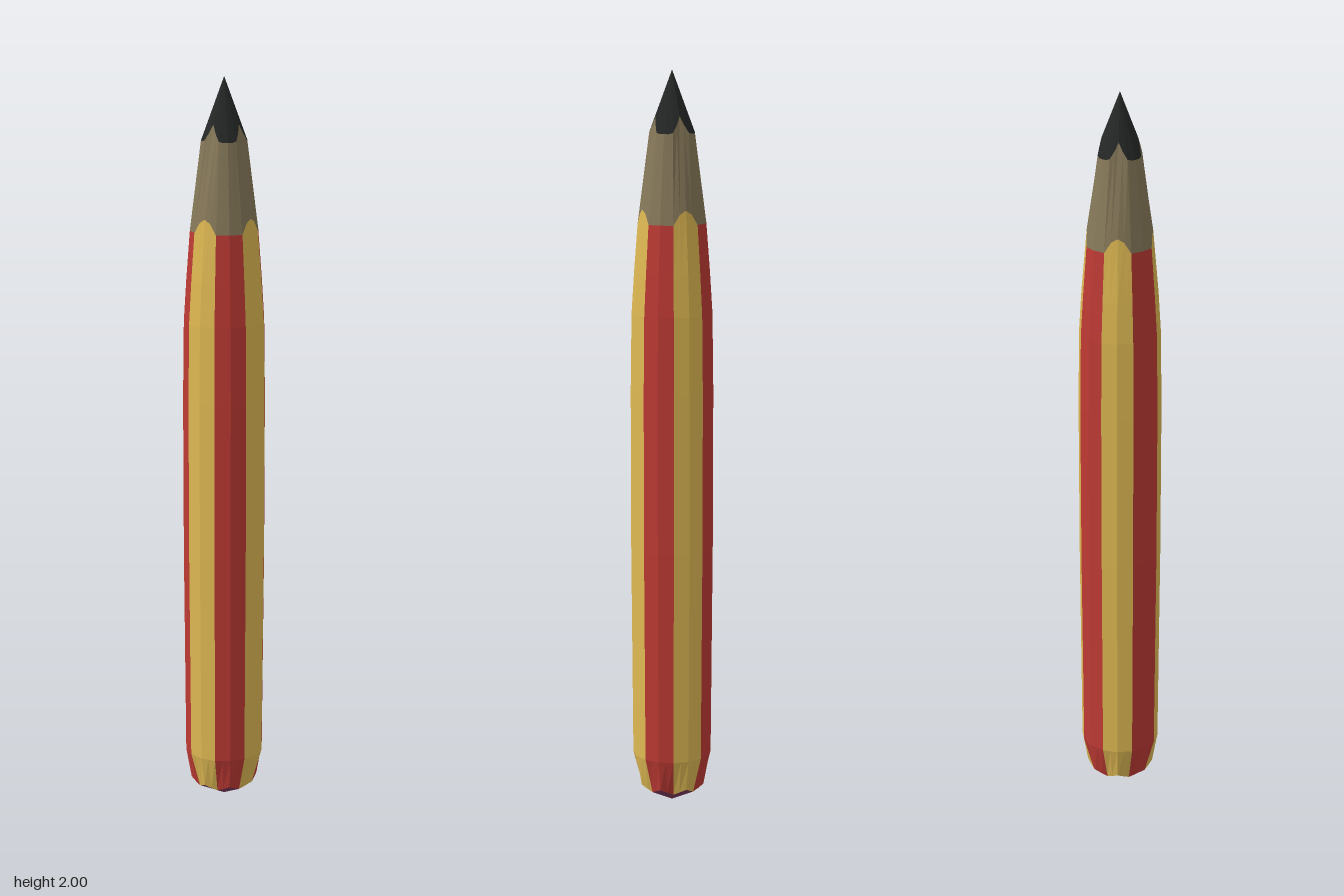
import * as THREE from 'three';

const COLS = 32; // two columns per side of a 16-sided body
const mat = (name, color) => {
  const m = new THREE.MeshStandardMaterial({ color, flatShading: true });
  m.name = name;
  return m;
};

// Each ring gives [height, radius] for a column; p is its place in the
// repeating pattern: 0 = middle of red, 2 and 6 = stripe edge, 4 = middle of yellow
const fixed = (y, r) => () => [y, r];
const pattern = (rows) => (p) => rows[p <= 4 ? p : 8 - p];

const baseTip = fixed(0, 0);
const baseEdge = pattern([[0.055, 0.092], [0.047, 0.086], [0.04, 0.079], [0.047, 0.086], [0.055, 0.092]]);
const paintEdge = pattern([[1.6, 0.091], [1.6, 0.091], [1.6, 0.091], [1.628, 0.088], [1.638, 0.086]]);
const leadEdge = pattern([[1.835, 0.061], [1.835, 0.061], [1.838, 0.06], [1.858, 0.054], [1.88, 0.047]]);
const leadTip = fixed(2, 0);
const body = [baseEdge, fixed(0.14, 0.107), fixed(0.72, 0.111), fixed(1.15, 0.111),
  fixed(1.36, 0.108), fixed(1.47, 0.101), paintEdge];

function point(ring, i) {
  const [y, r] = ring(i % 8);
  const a = (i / COLS) * Math.PI * 2;
  const k = i % 2 ? Math.cos(Math.PI / 16) : 1; // odd columns lie mid-face
  return [r * k * Math.sin(a), y, r * k * Math.cos(a)];
}

// Skin between successive rings, over the columns chosen by keep
function skin(name, rings, material, keep = () => true) {
  const pos = [];
  for (let j = 0; j < rings.length - 1; j++) {
    for (let i = 0; i < COLS; i++) {
      if (!keep(i)) continue;
      const a = point(rings[j], i), b = point(rings[j], i + 1);
      const c = point(rings[j + 1], i + 1), d = point(rings[j + 1], i);
      if (rings[j] !== baseTip) pos.push(...a, ...b, ...c);
      if (rings[j + 1] !== leadTip) pos.push(...a, ...c, ...d);
    }
  }
  const geo = new THREE.BufferGeometry();
  geo.setAttribute('position', new THREE.Float32BufferAttribute(pos, 3));
  geo.computeVertexNormals();
  const mesh = new THREE.Mesh(geo, material);
  mesh.name = name;
  return mesh;
}

export function createModel() {
  const group = new THREE.Group();
  group.name = 'pencil';
  const isRed = (i) => (i + 2) % 8 < 4;
  group.add(
    skin('endCap', [baseTip, baseEdge], mat('purple', 0x7d3a5c)),
    skin('redStripes', body, mat('red', 0xbe3a34), isRed),
    skin('yellowStripes', body, mat('yellow', 0xdfb953), (i) => !isRed(i)),
    skin('sharpenedWood', [paintEdge, leadEdge], mat('wood', 0x87795a)),
    skin('leadPoint', [leadEdge, leadTip], mat('graphite', 0x252727)),
  );
  return group;
}
